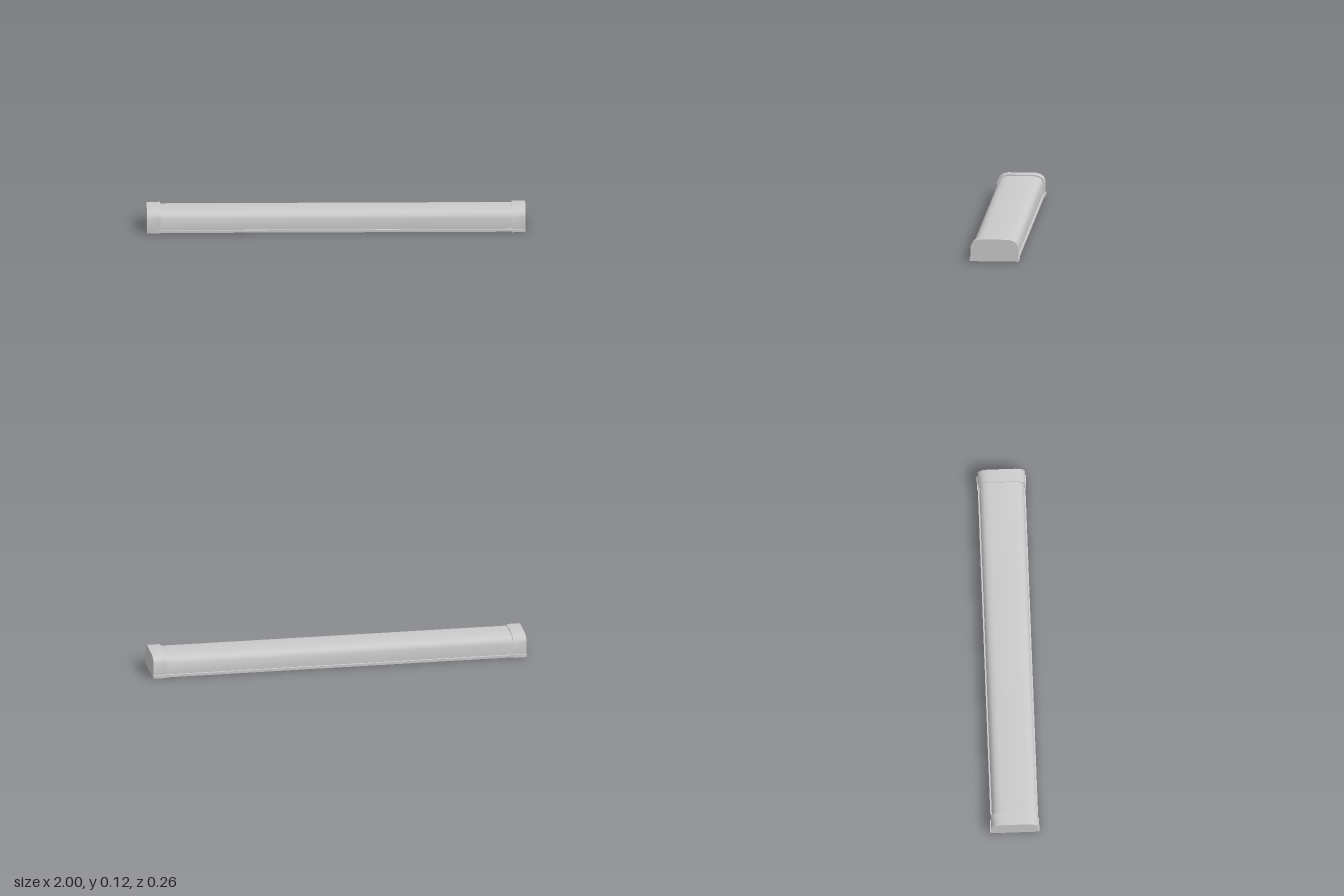
import * as THREE from 'three';
import { toCreasedNormals } from 'three/addons/utils/BufferGeometryUtils.js';

const material = new THREE.MeshStandardMaterial({ color: 0xcccccc, side: THREE.DoubleSide });

// Half profiles as [z, y], from the foot up to the flat top
const capHalf = [[0.13, 0], [0.13, 0.016], [0.125, 0.017], [0.125, 0.08], [0.116, 0.099], [0.098, 0.111], [0.072, 0.117]];
const coverHalf = [[0.126, 0.002], [0.126, 0.015], [0.118, 0.016], [0.118, 0.076], [0.109, 0.093], [0.093, 0.104], [0.069, 0.109]];

const mirrored = (half) => [...half, ...half.slice().reverse().map(([z, y]) => [-z, y])];

// Closed outline, or an open-bottomed channel when a wall thickness is given
function profileShape(half, wall = 0) {
  const points = mirrored(half);
  if (wall) {
    const inner = half.map(([z, y], i) => [Math.min(z, half[3][0]) - wall, i < 3 ? y : y - wall]);
    points.push(...mirrored(inner).reverse());
  }
  return new THREE.Shape(points.map(([z, y]) => new THREE.Vector2(z, y)));
}

// Sweep a profile along x between x0 and x1
function sweep(name, shape, x0, x1) {
  const extruded = new THREE.ExtrudeGeometry(shape, { depth: x1 - x0, bevelEnabled: false });
  extruded.rotateY(-Math.PI / 2).translate(x1, 0, 0);
  const mesh = new THREE.Mesh(toCreasedNormals(extruded, 0.6), material);
  mesh.name = name;
  return mesh;
}

export function createModel() {
  const model = new THREE.Group();
  model.name = 'linearLightFixture';

  // Long rounded cover with a small foot along each side
  model.add(sweep('cover', profileShape(coverHalf, 0.004), -0.95, 0.95));

  // Base panel set slightly up inside the cover
  const panel = new THREE.Mesh(new THREE.BoxGeometry(1.87, 0.006, 0.236), material);
  panel.name = 'basePanel';
  panel.position.y = 0.014;
  model.add(panel);

  // End caps: hollow sleeve, open below, closed by an outer wall
  for (const side of [1, -1]) {
    const cap = new THREE.Group();
    cap.name = side > 0 ? 'leftEndCap' : 'rightEndCap';
    const span = (a, b) => (side > 0 ? [a, b] : [-b, -a]);
    cap.add(sweep('capSleeve', profileShape(capHalf, 0.006), ...span(0.928, 0.994)));
    cap.add(sweep('capEndWall', profileShape(capHalf), ...span(0.994, 1)));
    model.add(cap);
  }
  return model;
}
